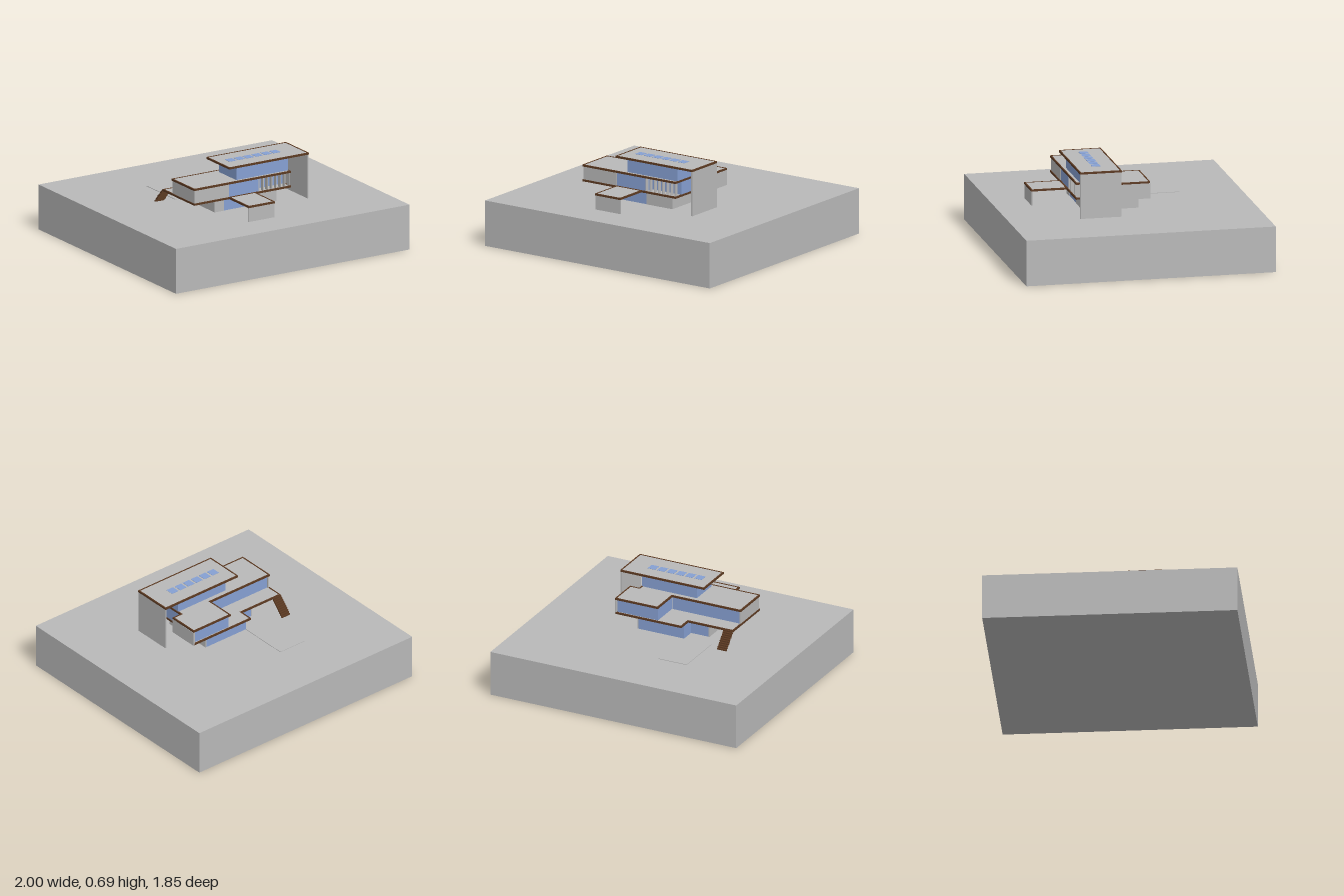
import * as THREE from 'three';

const mat = (name, color, double) => {
  const m = new THREE.MeshStandardMaterial({ color });
  m.name = name;
  if (double) m.side = THREE.DoubleSide;
  return m;
};

export function createModel() {
  const house = new THREE.Group();
  house.name = 'modernHouse';
  const concrete = mat('concrete', 0xb9b9b9);
  const wood = mat('brownTrim', 0x5c3a22);
  const glass = mat('blueGlass', 0x86a0d2, true);

  // Box given by its extents on each axis
  const box = (name, material, [x0, x1], [y0, y1], [z0, z1], parent = house) => {
    const m = new THREE.Mesh(new THREE.BoxGeometry(x1 - x0, y1 - y0, z1 - z0), material);
    m.position.set((x0 + x1) / 2, (y0 + y1) / 2, (z0 + z1) / 2);
    m.name = name;
    parent.add(m);
    return m;
  };

  // Horizontal plate from an [x, z] outline, with optional hole
  const plate = (name, material, pts, y0, y1, hole, parent = house) => {
    const v = (p) => p.map(([x, z]) => new THREE.Vector2(x, -z));
    const shape = new THREE.Shape(v(pts));
    if (hole) shape.holes.push(new THREE.Path(v(hole)));
    const g = new THREE.ExtrudeGeometry(shape, { depth: y1 - y0, bevelEnabled: false });
    g.rotateX(-Math.PI / 2);
    const m = new THREE.Mesh(g, material);
    m.position.y = y0;
    m.name = name;
    parent.add(m);
  };

  const rect = (x0, x1, z0, z1) => [[x0, z0], [x1, z0], [x1, z1], [x0, z1]];

  // Concrete slab with a brown fascia along every edge
  const slab = (name, pts, y) => {
    const g = new THREE.Group();
    g.name = name;
    plate(name + 'Deck', concrete, pts, y, y + 0.011, null, g);
    const t = 0.005;
    pts.forEach(([x, z], i) => {
      const [u, w] = pts[(i + 1) % pts.length];
      box(name + 'Fascia', wood,
        [Math.min(x, u) - t, Math.max(x, u) + t],
        [y - 0.001, y + 0.013],
        [Math.min(z, w) - t, Math.max(z, w) + t], g);
    });
    house.add(g);
  };

  const G = 0.34, F = 0.447, M = 0.558, T = 0.672; // ground, floor, middle roof, top roof

  // Ground block with a sunken court
  const court = rect(-0.36, -0.14, -0.47, -0.09);
  box('groundBase', concrete, [-1, 1], [0, G - 0.04], [-0.925, 0.925]);
  plate('groundTop', concrete, rect(-1, 1, -0.925, 0.925), G - 0.04, G, court);
  plate('courtKerb', concrete, rect(-0.364, -0.136, -0.474, -0.086), G, G + 0.004, court);

  // Ground floor
  const gz = 0.33, bz = -0.08;
  box('groundFrontWall', concrete, [0.01, 0.24], [G, F], [gz - 0.01, gz]);
  box('groundCornerWall', concrete, [-0.29, -0.21], [G, F], [gz - 0.01, gz]);
  box('entranceGlass', glass, [-0.21, 0.01], [G, F], [gz - 0.01, gz - 0.004]);
  box('groundSideWall', concrete, [0.23, 0.24], [G, F], [bz, gz - 0.01]);
  box('groundSideWall', concrete, [-0.29, -0.28], [G, F], [0.03, gz - 0.01]);
  box('groundBackGlass', glass, [-0.14, 0.23], [G, F], [bz, bz + 0.006]);
  box('groundReturnGlass', glass, [-0.14, -0.134], [G, F], [bz + 0.006, 0.03]);
  box('groundBackGlass', glass, [-0.28, -0.134], [G, F], [0.03, 0.036]);

  // Porch
  slab('porchRoof', rect(-0.205, 0.01, 0.4, 0.657), F);
  box('porchWall', concrete, [-0.208, 0.013], [G, F], [0.65, 0.659]);

  // Middle floor
  slab('middleFloor', [[-0.505, -0.02], [-0.14, -0.02], [-0.14, -0.128], [0.385, -0.128],
    [0.385, 0.098], [0.315, 0.098], [0.315, 0.396], [-0.505, 0.396]], F);
  const f = F + 0.011;
  box('middleFrontWall', concrete, [-0.505, -0.21], [f, M], [0.385, 0.394]);
  box('middleSideWall', concrete, [-0.505, -0.496], [f, M], [0.1, 0.385]);
  box('middleFrontGlass', glass, [-0.21, 0.05], [f, M], [0.384, 0.39]);
  box('loggiaReturnGlass', glass, [0.044, 0.05], [f, M], [0.32, 0.384]);
  box('loggiaGlass', glass, [0.05, 0.315], [f, M], [0.314, 0.32]);
  box('middleSideGlass', glass, [0.309, 0.315], [f, M], [0.1, 0.314]);
  box('middleBackGlass', glass, [-0.496, 0.05], [f, M], [0.108, 0.114]);
  box('wingSideGlass', glass, [0.055, 0.061], [f, M], [-0.115, 0.108]);
  box('wingBackGlass', glass, [0.061, 0.385], [f, M], [-0.115, -0.109]);
  box('wingFrontWall', concrete, [0.315, 0.385], [F - 0.002, M], [0.095, 0.104]);
  box('wingSideWall', concrete, [0.385, 0.396], [F - 0.002, M], [-0.133, 0.104]);

  // Upright fins across the loggia
  for (let i = 0; i < 8; i++) {
    const x = 0.05 + i * 0.037;
    box('loggiaFin', concrete, [x - 0.003, x + 0.003], [f, M], [0.365, 0.394]);
  }

  // Middle roof
  slab('middleRoof', [[-0.505, 0.1], [0.052, 0.1], [0.052, -0.128], [0.39, -0.128],
    [0.39, 0.1], [0.315, 0.1], [0.315, 0.396], [-0.505, 0.396]], M);

  // Top floor: glass box, oversailing roof and tall end wall
  box('topGlass', glass, [-0.13, 0.315], [M + 0.011, T], [0.14, 0.37]);
  slab('topRoof', rect(-0.207, 0.465, 0.1, 0.4), T);
  box('tallEndWall', concrete, [0.459, 0.47], [G, T - 0.001], [0.098, 0.402]);
  for (let i = 0; i < 6; i++) {
    const x = -0.1 + i * 0.0757;
    box('skylight', glass, [x - 0.03, x + 0.03], [T + 0.009, T + 0.013], [0.215, 0.278]);
  }

  // Outside stair
  const n = 10, rise = (F + 0.011 - G) / n, run = 0.11 / n;
  for (let i = 0; i < n; i++) {
    const y = G + i * rise, z = -0.135 + i * run;
    box('stairTread', wood, [-0.51, -0.435], [y, y + rise * 0.8], [z, z + run * 1.5]);
  }
  return house;
}
